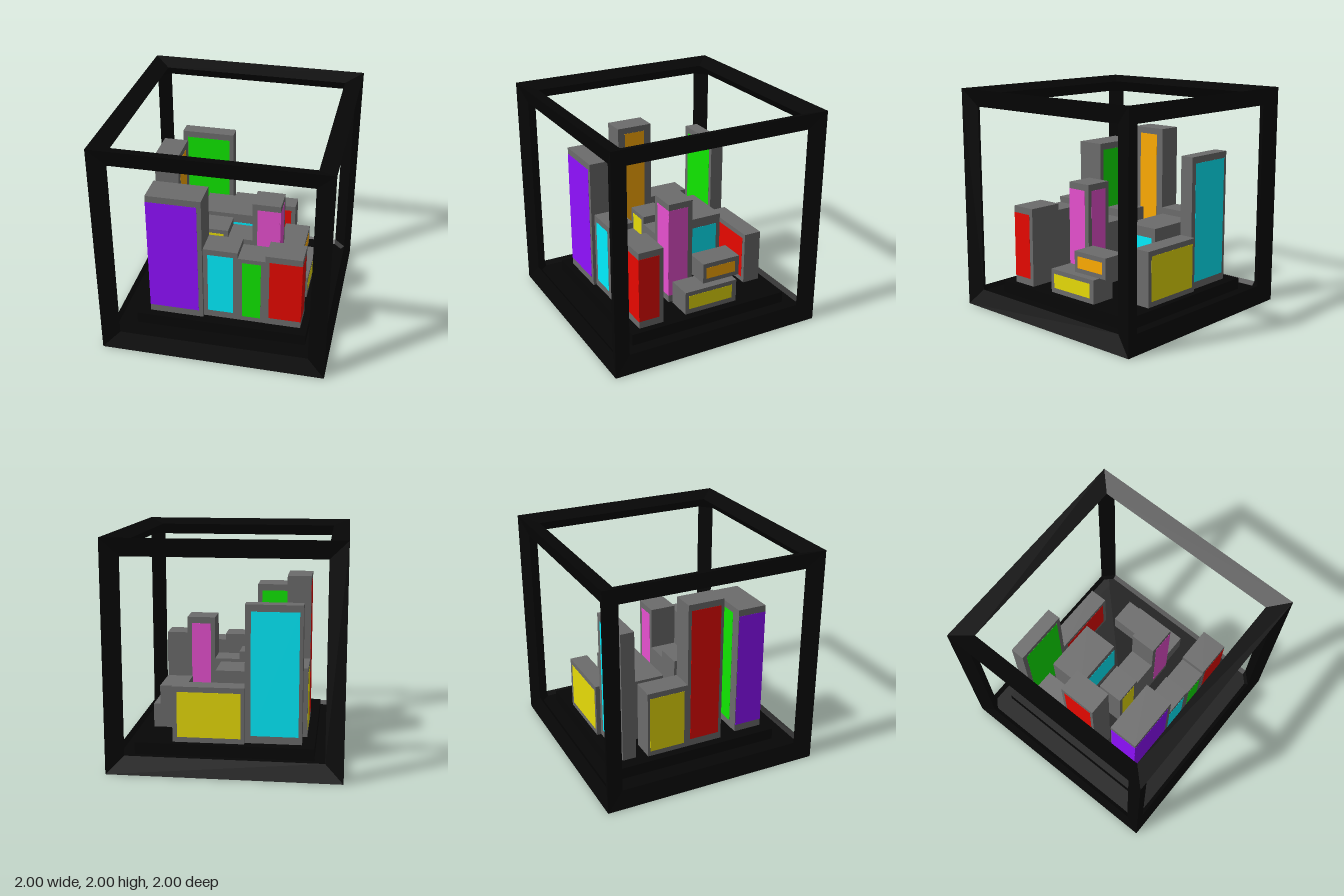
import * as THREE from 'three';
import { ConvexGeometry } from 'three/addons/geometries/ConvexGeometry.js';

const mat = (color) => new THREE.MeshStandardMaterial({ color });
const MATS = {
  black: mat(0x060606), grey: mat(0x6c6c6c), purple: mat(0x9010ff), cyan: mat(0x00efff),
  green: mat(0x10e800), red: mat(0xe80800), pink: mat(0xe850d0), orange: mat(0xffac00), yellow: mat(0xe8dc08),
};
const FLOOR = 0.225, PROUD = 0.001;
const OPEN = 0.845, SUNK = 0.95; // half-size and distance of each opening's inner edge

// Box given by its extents along each axis
function box(parent, name, color, [x0, x1], [y0, y1], [z0, z1]) {
  const mesh = new THREE.Mesh(new THREE.BoxGeometry(x1 - x0, y1 - y0, z1 - z0), MATS[color]);
  mesh.position.set((x0 + x1) / 2, (y0 + y1) / 2, (z0 + z1) / 2);
  mesh.name = name;
  parent.add(mesh);
}

// Block with thin coloured panels; each panel is [side, colour, from, to, bottom, top]
function building(parent, name, x, y, z, panels = []) {
  const g = new THREE.Group();
  g.name = name;
  box(g, name + 'Block', 'grey', x, y, z);
  for (const [side, color, a, b, y0, y1] of panels) {
    const onX = side === 'left' || side === 'right';
    const positive = side === 'left' || side === 'front';
    const at = (onX ? x : z)[positive ? 1 : 0];
    const depth = positive ? [at - 0.01, at + PROUD] : [at - PROUD, at + 0.01];
    box(g, side + 'Panel', color, onX ? depth : [a, b], [y0, y1], onX ? [a, b] : depth);
  }
  parent.add(g);
}

// Cube frame whose faces slope inward from the outer edges to the openings
function cubeFrame() {
  const frame = new THREE.Group();
  frame.name = 'frame';
  frame.position.y = 1;
  const hull = (name, points) => {
    const mesh = new THREE.Mesh(new ConvexGeometry(points), MATS.black);
    mesh.name = name;
    frame.add(mesh);
  };
  const signs = [-1, 1];
  // Wedge-shaped bars along each axis
  for (const axis of [0, 1, 2]) for (const s of signs) for (const t of signs) {
    const points = [];
    for (const e of signs) for (const [along, p, q] of [[1, 1, 1], [OPEN, OPEN, SUNK], [OPEN, SUNK, OPEN]]) {
      const v = new THREE.Vector3();
      v.setComponent(axis, e * along);
      v.setComponent((axis + 1) % 3, s * p);
      v.setComponent((axis + 2) % 3, t * q);
      points.push(v);
    }
    hull(axis === 1 ? 'post' : 'rail', points);
  }
  // Corner fillers between the bars
  for (const x of signs) for (const y of signs) for (const z of signs) {
    hull('corner', [[1, 1, 1], [SUNK, OPEN, OPEN], [OPEN, SUNK, OPEN], [OPEN, OPEN, SUNK]]
      .map(([a, b, c]) => new THREE.Vector3(a * x, b * y, c * z)));
  }
  return frame;
}

export function createModel() {
  const model = new THREE.Group();
  model.name = 'framedBlocks';

  // Frame, floor plate and plinth
  model.add(cubeFrame());
  box(model, 'floor', 'black', [-0.92, 0.92], [0.05, 0.12], [-0.92, 0.92]);
  box(model, 'plinth', 'black', [-0.75, 0.79], [0.12, FLOOR], [-0.8, 0.74]);

  // Front row
  building(model, 'frontTower', [-0.64, -0.15], [FLOOR, 1.43], [0.405, 0.67], [
    ['front', 'purple', -0.64, -0.19, 0.29, 1.37],
    ['right', 'purple', 0.41, 0.67, 0.29, 1.37],
    ['back', 'green', -0.54, -0.19, 0.29, 1.37]]);
  building(model, 'frontBlockA', [-0.15, 0.16], [FLOOR, 0.94], [0.405, 0.64], [
    ['front', 'cyan', -0.11, 0.12, 0.29, 0.885]]);
  building(model, 'frontBlockB', [0.16, 0.405], [FLOOR, 0.885], [0.405, 0.64], [
    ['front', 'green', 0.2, 0.365, 0.27, 0.845]]);
  building(model, 'frontBlockC', [0.405, 0.728], [FLOOR, 0.945], [0.405, 0.642], [
    ['front', 'red', 0.44, 0.728, 0.29, 0.885],
    ['left', 'red', 0.445, 0.642, 0.29, 0.885]]);

  // Middle row
  building(model, 'middleBlockA', [-0.275, -0.025], [FLOOR, 0.87], [-0.03, 0.207], [
    ['front', 'yellow', -0.235, -0.065, 0.29, 0.83]]);
  building(model, 'middleBlockB', [-0.025, 0.2], [FLOOR, 0.8], [-0.03, 0.207]);
  building(model, 'middleTower', [0.2, 0.455], [FLOOR, 1.183], [-0.03, 0.207], [
    ['front', 'pink', 0.245, 0.447, 0.29, 1.125],
    ['left', 'pink', 0.015, 0.207, 0.29, 1.125],
    ['back', 'pink', 0.24, 0.415, 0.29, 1.125]]);
  building(model, 'centreBlock', [-0.37, 0.125], [FLOOR, 0.81], [-0.52, -0.187], [
    ['front', 'cyan', -0.33, 0.125, 0.31, 0.72],
    ['left', 'cyan', -0.48, -0.187, 0.31, 0.72]]);

  // Right side row
  building(model, 'sideTower', [-0.675, -0.463], [FLOOR, 1.587], [-0.1, 0.238], [
    ['left', 'orange', -0.03, 0.17, 0.29, 1.53],
    ['right', 'red', -0.07, 0.21, 0.29, 1.53]]);
  building(model, 'sideBlock', [-0.675, -0.463], [FLOOR, 0.84], [-0.48, -0.1], [
    ['left', 'purple', -0.44, -0.19, 0.29, 0.78],
    ['right', 'yellow', -0.46, -0.13, 0.27, 0.79]]);

  // Back row
  building(model, 'backTower', [-0.64, -0.15], [FLOOR, 1.43], [-0.705, -0.58], [
    ['front', 'green', -0.595, -0.19, 0.29, 1.37],
    ['back', 'cyan', -0.61, -0.2, 0.29, 1.37]]);
  building(model, 'backBlock', [-0.15, 0.47], [FLOOR, 0.717], [-0.745, -0.58], [
    ['front', 'red', -0.1, 0.43, 0.27, 0.67],
    ['back', 'yellow', -0.12, 0.43, 0.27, 0.67]]);

  // Two stacked low boxes on the left side
  building(model, 'lowerBox', [0.48, 0.715], [FLOOR, 0.44], [-0.34, 0.18], [
    ['left', 'yellow', -0.295, 0.145, 0.27, 0.4]]);
  building(model, 'upperBox', [0.408, 0.64], [0.44, 0.63], [-0.41, -0.04], [
    ['left', 'orange', -0.37, -0.073, 0.48, 0.587]]);

  return model;
}
